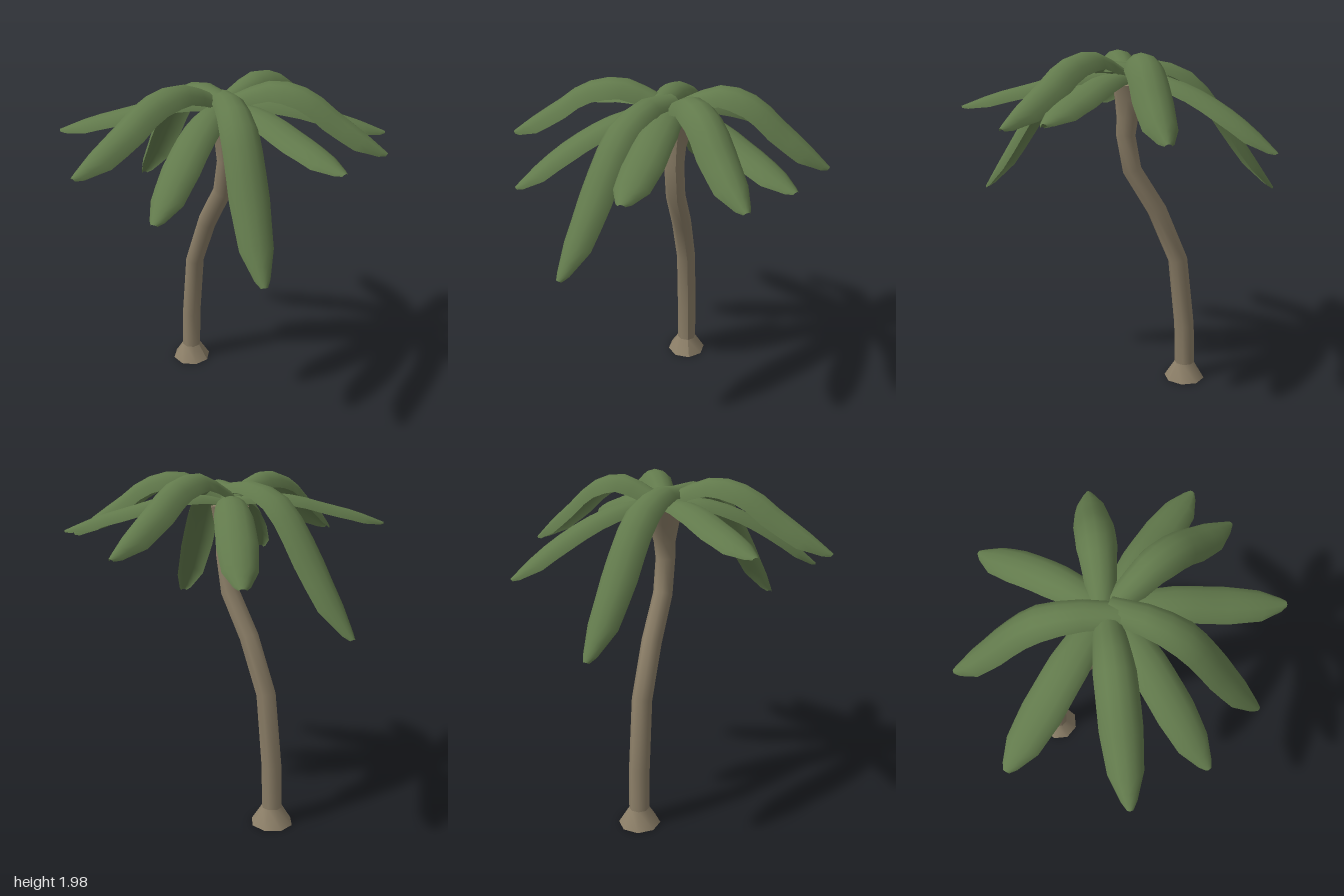
import * as THREE from 'three';

const bark = new THREE.MeshStandardMaterial({ color: 0x8b7e67, side: THREE.DoubleSide });
const leaf = new THREE.MeshStandardMaterial({ color: 0x627a4c, side: THREE.DoubleSide });

// Skin a grid of cross-sections (arrays of Vector3, all the same length)
function loft(rows) {
  const n = rows[0].length, index = [];
  for (let i = 0; i < rows.length - 1; i++) {
    for (let j = 0; j < n - 1; j++) {
      const a = i * n + j, b = a + n;
      index.push(a, a + 1, b, b, a + 1, b + 1);
    }
  }
  const geo = new THREE.BufferGeometry().setFromPoints(rows.flat());
  geo.setIndex(index);
  geo.computeVertexNormals();
  return geo;
}

// Trunk rings: y, z, radius, tilt of the ring (rise per unit of z)
const X = 0.055;
const rings = [
  [0, -0.378, 0.118, 0], [0.1, -0.378, 0.058, 0], [0.35, -0.37, 0.058, -0.05],
  [0.77, -0.322, 0.056, -0.25], [1.08, -0.19, 0.056, -0.5], [1.32, -0.042, 0.054, -0.4],
  [1.52, -0.005, 0.054, 0], [1.62, -0.014, 0.06, 0.05], [1.72, -0.03, 0.085, 0.05],
  [1.8, -0.04, 0.108, 0],
];

function ring([y, z, r, tilt]) {
  const pts = [], c = 1 / Math.hypot(1, tilt);
  for (let k = 0; k <= 8; k++) {
    const a = ((k + 0.5) / 8) * Math.PI * 2;
    const d = Math.cos(a) * r * 1.04;
    pts.push(new THREE.Vector3(X + Math.sin(a) * r * 1.04, y + d * c * tilt, z + d * c));
  }
  return pts;
}

function buildTrunk() {
  const g = new THREE.Group();
  g.name = 'trunk';
  const rows = rings.map(ring);
  // the foot is a separate piece so the crease above it stays sharp
  const parts = { trunkFoot: rows.slice(0, 2), trunkStem: rows.slice(1) };
  for (const [name, r] of Object.entries(parts)) {
    const m = new THREE.Mesh(loft(r), bark);
    m.name = name;
    g.add(m);
  }
  for (const [name, r] of [['trunkBottom', rings[0]], ['trunkTop', rings[rings.length - 1]]]) {
    const cap = new THREE.Mesh(new THREE.CircleGeometry(r[2] * 1.04, 8, Math.PI / 8), bark);
    cap.rotation.x = name === 'trunkTop' ? -Math.PI / 2 : Math.PI / 2;
    cap.position.set(X, r[0], r[1]);
    cap.name = name;
    g.add(cap);
  }
  return g;
}

// Ridge lines: fraction of reach, height
const ridges = {
  arched: [[0, 1.88], [0.1, 1.925], [0.3, 1.985], [0.52, 1.94], [0.69, 1.83], [0.84, 1.735], [1, 1.62]],
  hanging: [[0, 1.92], [0.16, 1.94], [0.32, 1.92], [0.47, 1.86], [0.57, 1.77], [0.82, 1.44], [1, 1.19]],
  level: [[0, 1.85], [0.2, 1.87], [0.4, 1.855], [0.6, 1.81], [0.8, 1.765], [1, 1.7]],
  sloping: [[0, 1.85], [0.2, 1.86], [0.4, 1.82], [0.6, 1.74], [0.8, 1.63], [1, 1.485]],
};
const depths = { arched: 0.095, hanging: 0.075, level: 0.06, sloping: 0.065 };

// Half-width along the frond
const widths = [[0, 0.07], [0.15, 0.085], [0.35, 0.102], [0.65, 0.105], [0.85, 0.088], [0.97, 0.04], [1, 0.018]];
function widthAt(t) {
  const i = Math.max(1, widths.findIndex(w => w[0] >= t - 1e-6));
  const [a, b] = [widths[i - 1], widths[i]];
  return THREE.MathUtils.lerp(a[1], b[1], (t - a[0]) / (b[0] - a[0]));
}

// A frond is an arched sheet hung along its ridge line
function buildFrond(kind, root, tip, tipY) {
  const start = new THREE.Vector2(...root), end = new THREE.Vector2(...tip);
  const dir = end.clone().sub(start).normalize();
  const side = new THREE.Vector3(dir.y, 0, -dir.x);
  const line = ridges[kind], shift = tipY - line[line.length - 1][1];
  const curve = new THREE.CatmullRomCurve3(line.map(([s, y]) => {
    const p = start.clone().lerp(end, s);
    return new THREE.Vector3(p.x, y + shift * s * s, p.y);
  }));
  const rows = [];
  for (const t of [0, 0.15, 0.25, 0.35, 0.45, 0.55, 0.65, 0.75, 0.85, 0.92, 0.97, 1]) {
    const p = curve.getPointAt(t), w = widthAt(t);
    const up = new THREE.Vector3().crossVectors(curve.getTangentAt(t), side).normalize();
    const depth = depths[kind] * Math.min(1, w / 0.1);
    const row = [];
    for (let k = -3; k <= 3; k++) {
      const a = (k / 3) * Math.PI * 0.45, full = Math.PI * 0.45;
      row.push(p.clone()
        .addScaledVector(side, (w * Math.sin(a)) / Math.sin(full))
        .addScaledVector(up, (-depth * (1 - Math.cos(a))) / (1 - Math.cos(full))));
    }
    rows.push(row);
  }
  return new THREE.Mesh(loft(rows), leaf);
}

// name, ridge, root (x, z), tip (x, z), tip height
const fronds = [
  ['backFrond', 'hanging', [-0.01, 0.05], [0.06, -0.9], 1.19],
  ['backLeftFrond', 'sloping', [0.04, -0.02], [0.63, -0.68], 1.49],
  ['leftFrond', 'arched', [0.06, -0.04], [0.89, -0.045], 1.59],
  ['leftFrontFrond', 'level', [0.05, -0.01], [0.77, 0.51], 1.68],
  ['frontLeftFrond', 'arched', [0.05, 0], [0.58, 0.7], 1.64],
  ['frontFrond', 'level', [0.05, 0], [0.05, 0.89], 1.7],
  ['frontRightFrond', 'hanging', [0.03, -0.02], [-0.335, 0.785], 1.18],
  ['rightFrontFrond', 'sloping', [0.04, -0.01], [-0.71, 0.41], 1.48],
  ['rightFrond', 'arched', [0.03, -0.03], [-0.9, -0.01], 1.63],
  ['backRightFrond', 'level', [0.03, -0.05], [-0.67, -0.57], 1.7],
];

export function createModel() {
  const model = new THREE.Group();
  model.name = 'palmTree';
  model.add(buildTrunk());
  const crown = new THREE.Group();
  crown.name = 'crown';
  for (const [name, ...spec] of fronds) {
    const frond = buildFrond(...spec);
    frond.name = name;
    crown.add(frond);
  }
  model.add(crown);
  return model;
}
